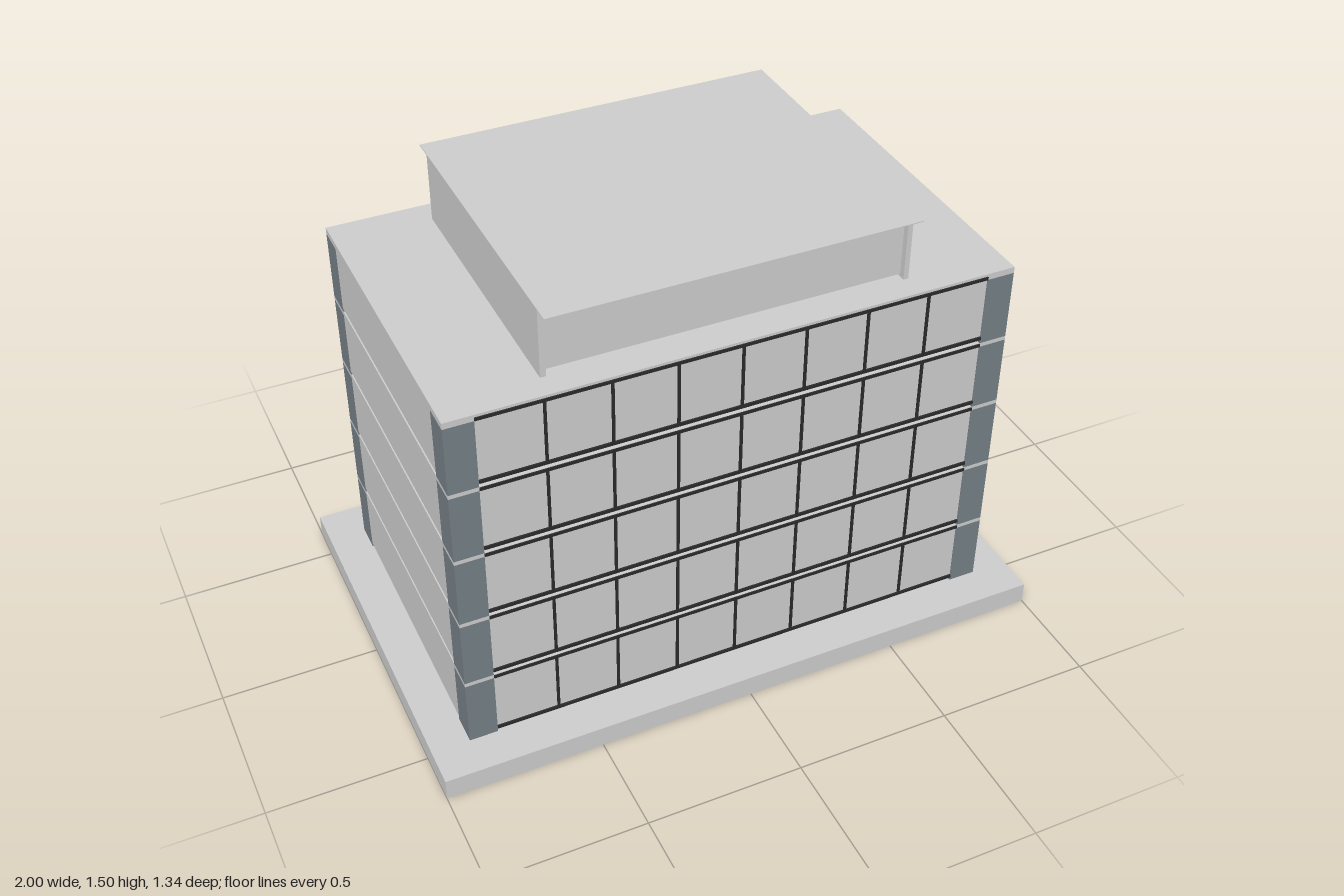
import * as THREE from 'three';

const grey = new THREE.MeshStandardMaterial({ color: 0xcccccc });
const slate = new THREE.MeshStandardMaterial({ color: 0x747e85 });
const dark = new THREE.MeshStandardMaterial({ color: 0x2a2a2a });

// Box given by its min and max corner
function box(parent, name, x0, x1, y0, y1, z0, z1, material = grey) {
  const mesh = new THREE.Mesh(new THREE.BoxGeometry(x1 - x0, y1 - y0, z1 - z0), material);
  mesh.position.set((x0 + x1) / 2, (y0 + y1) / 2, (z0 + z1) / 2);
  mesh.name = name;
  parent.add(mesh);
  return mesh;
}

// Row of thin posts on a circular arc that bulges towards -z
function postArc(parent, name, { x, z, half, sagitta, y0, y1, count, size }) {
  const group = new THREE.Group();
  group.name = name;
  const radius = (half * half + sagitta * sagitta) / (2 * sagitta);
  const sweep = Math.asin(half / radius);
  for (let i = 0; i < count; i++) {
    const a = sweep * (2 * i / (count - 1) - 1);
    const px = x + radius * Math.sin(a);
    const pz = z - sagitta + radius * (1 - Math.cos(a));
    const post = box(group, 'post', px - size / 2, px + size / 2, y0, y1, pz - size / 2, pz + size / 2, dark);
    post.rotation.y = -a;
  }
  parent.add(group);
}

// Dark window frame: two rails and evenly placed mullions
function windowFrame(parent, name, z, y0, y1, mullions) {
  const group = new THREE.Group();
  group.name = name;
  const z0 = z - 0.004, z1 = z + 0.004, w = 0.79;
  box(group, 'bottomRail', -w, w, y0, y0 + 0.01, z0, z1, dark);
  box(group, 'topRail', -w, w, y1 - 0.01, y1, z0, z1, dark);
  for (const x of mullions) box(group, 'mullion', x - 0.004, x + 0.004, y0, y1, z0, z1, dark);
  parent.add(group);
}

export function createModel() {
  const model = new THREE.Group();
  model.name = 'officeBuilding';

  const X = 0.88, INNER = 0.79, FRONT = 0.548, BACK = -0.495;
  const PITCH = 0.2395, BASE = 0.072;
  const frontMullions = [-3, -2, -1, 0, 1, 2, 3].map((i) => i * 0.1975);
  const backMullions = [-0.527, 0, 0.527];

  box(model, 'basePlate', -1, 1, 0, BASE, -0.615, 0.67);

  for (let f = 0; f < 5; f++) {
    const y = BASE + f * PITCH;
    const floor = new THREE.Group();
    floor.name = 'floor' + (f + 1);
    const wallBottom = y + 0.014, wallTop = y + 0.226;

    // Ceiling slab
    box(floor, 'slab', -X, X, wallTop, y + PITCH + (f === 4 ? 0.007 : 0), BACK, FRONT);

    // Corner columns and side walls, leaving a slit above the slab below
    for (const s of [-1, 1]) {
      const x0 = s < 0 ? -X : INNER, x1 = s < 0 ? -INNER : X;
      box(floor, 'frontColumn', x0, x1, y, wallTop, 0.455, FRONT, slate);
      box(floor, 'backColumn', x0, x1, y, wallTop, BACK, -0.4, slate);
      const w0 = s < 0 ? -X : X - 0.03, w1 = s < 0 ? -X + 0.03 : X;
      box(floor, 'sideWall', w0, w1, wallBottom, wallTop, -0.4, 0.455);
    }

    // Window bands
    box(floor, 'frontGlazing', -INNER, INNER, wallBottom, wallTop, FRONT - 0.01, FRONT - 0.002);
    box(floor, 'backGlazing', -INNER, INNER, wallBottom, wallTop, BACK + 0.002, BACK + 0.01);
    windowFrame(floor, 'frontFrame', FRONT, wallBottom, y + 0.238, frontMullions);
    windowFrame(floor, 'backFrame', BACK, wallBottom, y + 0.238, backMullions);

    // Curved balcony railings at the back
    for (const s of [-1, 1]) {
      postArc(floor, 'balconyRailing', {
        x: s * 0.545, z: -0.576, half: 0.24, sagitta: 0.093,
        y0: y + 0.012, y1: y + 0.101, count: 14, size: 0.005,
      });
    }
    model.add(floor);
  }

  // Rooftop pavilion
  const pavilion = new THREE.Group();
  pavilion.name = 'pavilion';
  const ROOF = 1.276, TOP = 1.5;
  box(pavilion, 'rightWall', -0.573, -0.555, ROOF, TOP - 0.003, -0.41, 0.47);
  box(pavilion, 'leftWall', 0.552, 0.568, ROOF, TOP - 0.003, -0.41, 0.47);
  box(pavilion, 'frontWall', -0.555, 0.552, 1.285, TOP - 0.003, 0.435, 0.45);
  box(pavilion, 'backWall', -0.555, 0.552, 1.285, TOP - 0.003, -0.405, -0.395);
  box(pavilion, 'roofSheet', -0.573, 0.568, TOP - 0.003, TOP, -0.472, 0.52);
  postArc(pavilion, 'backPosts', {
    x: 0, z: -0.413, half: 0.53, sagitta: 0.045,
    y0: 1.305, y1: 1.492, count: 14, size: 0.008,
  });
  model.add(pavilion);

  return model;
}
